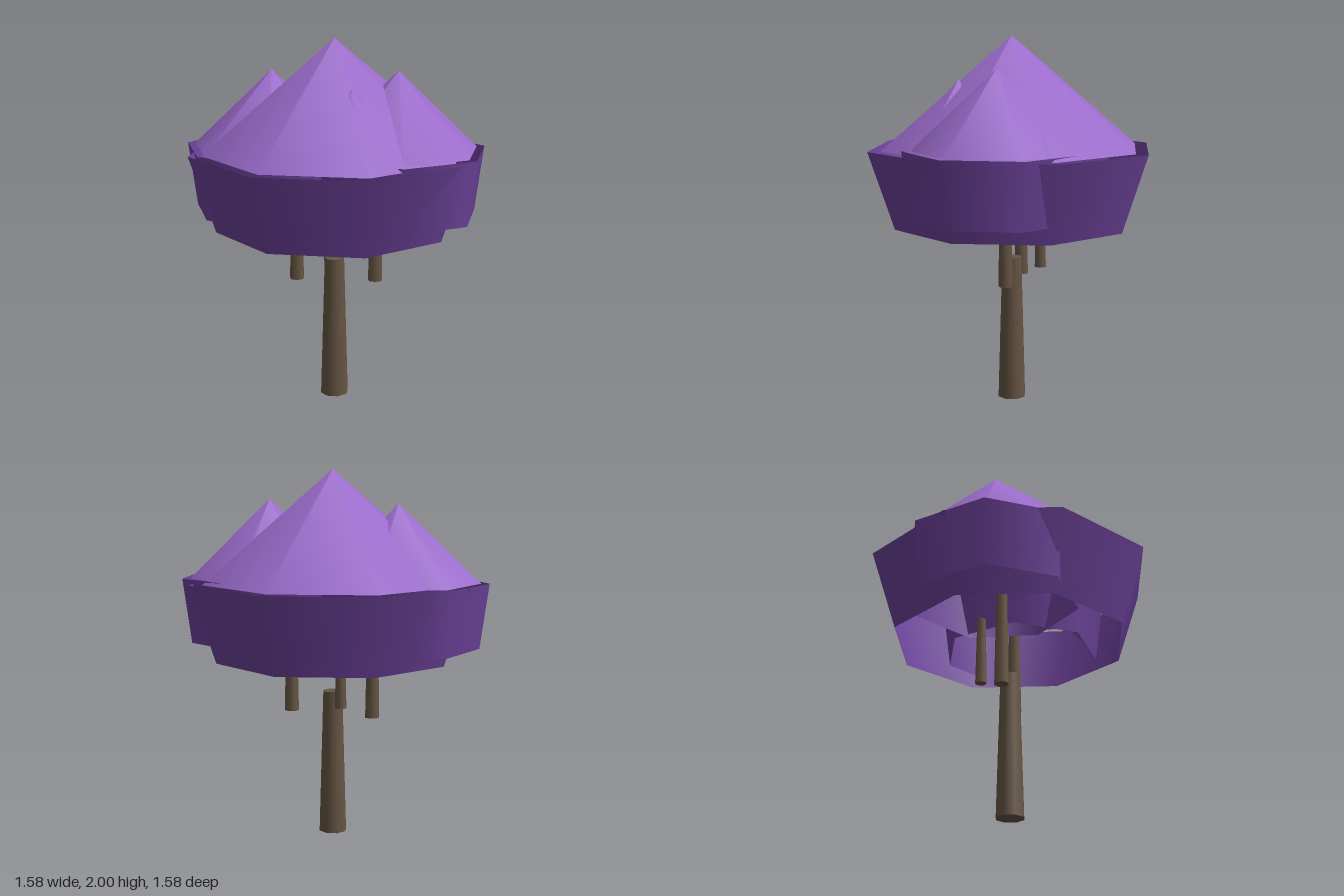
import * as THREE from 'three';

const mat = (name, color, side = THREE.FrontSide) => {
  const m = new THREE.MeshStandardMaterial({ color, side });
  m.name = name;
  return m;
};

export function createModel() {
  const model = new THREE.Group();
  model.name = 'tree';
  const bark = mat('brown bark', 0x665543);
  const light = mat('light purple foliage', 0x9b6bcb, THREE.DoubleSide);
  const dark = mat('deep purple foliage', 0x6d429b, THREE.DoubleSide);

  // Tapered ring or cone between two heights, with one corner on +x
  const taper = (name, material, [x, z], y0, y1, rBottom, rTop, sides, open = false) => {
    const geo = new THREE.CylinderGeometry(rTop, rBottom, y1 - y0, sides, 1, open);
    geo.rotateY(Math.PI / 2);
    const mesh = new THREE.Mesh(geo, material);
    mesh.name = name;
    mesh.position.set(x, (y0 + y1) / 2, z);
    model.add(mesh);
  };

  // Trunk and the three hanging branch stems
  taper('trunk', bark, [0, 0], 0, 0.795, 0.078, 0.055, 8);
  taper('leftStem', bark, [0.207, 0.098], 0.68, 1.18, 0.04, 0.03, 7);
  taper('rightStem', bark, [-0.188, -0.115], 0.655, 1.18, 0.04, 0.03, 7);
  taper('backStem', bark, [0.01, -0.163], 0.73, 1.11, 0.032, 0.024, 7);

  // Main crown: peaked top over an open flared skirt
  taper('crownTop', light, [0, 0], 1.4, 2, 0.72, 0, 8);
  taper('crownSkirt', dark, [0, 0], 0.98, 1.4, 0.65, 0.79, 8, true);

  // Side clumps growing through the crown
  const clumps = [
    ['left', [0.303, 0.175], 1.07, 1.42, 1.84],
    ['right', [-0.303, -0.19], 1.05, 1.4, 1.82],
  ];
  for (const [side, at, low, rim, peak] of clumps) {
    taper(side + 'ClumpTop', light, at, rim, peak, 0.443, 0, 7);
    taper(side + 'ClumpSkirt', dark, at, low, rim, 0.44, 0.487, 7, true);
  }

  // Small peak breaking through the front
  taper('frontPeak', light, [0.022, 0.3], 1.45, 1.77, 0.3, 0, 7);

  return model;
}
